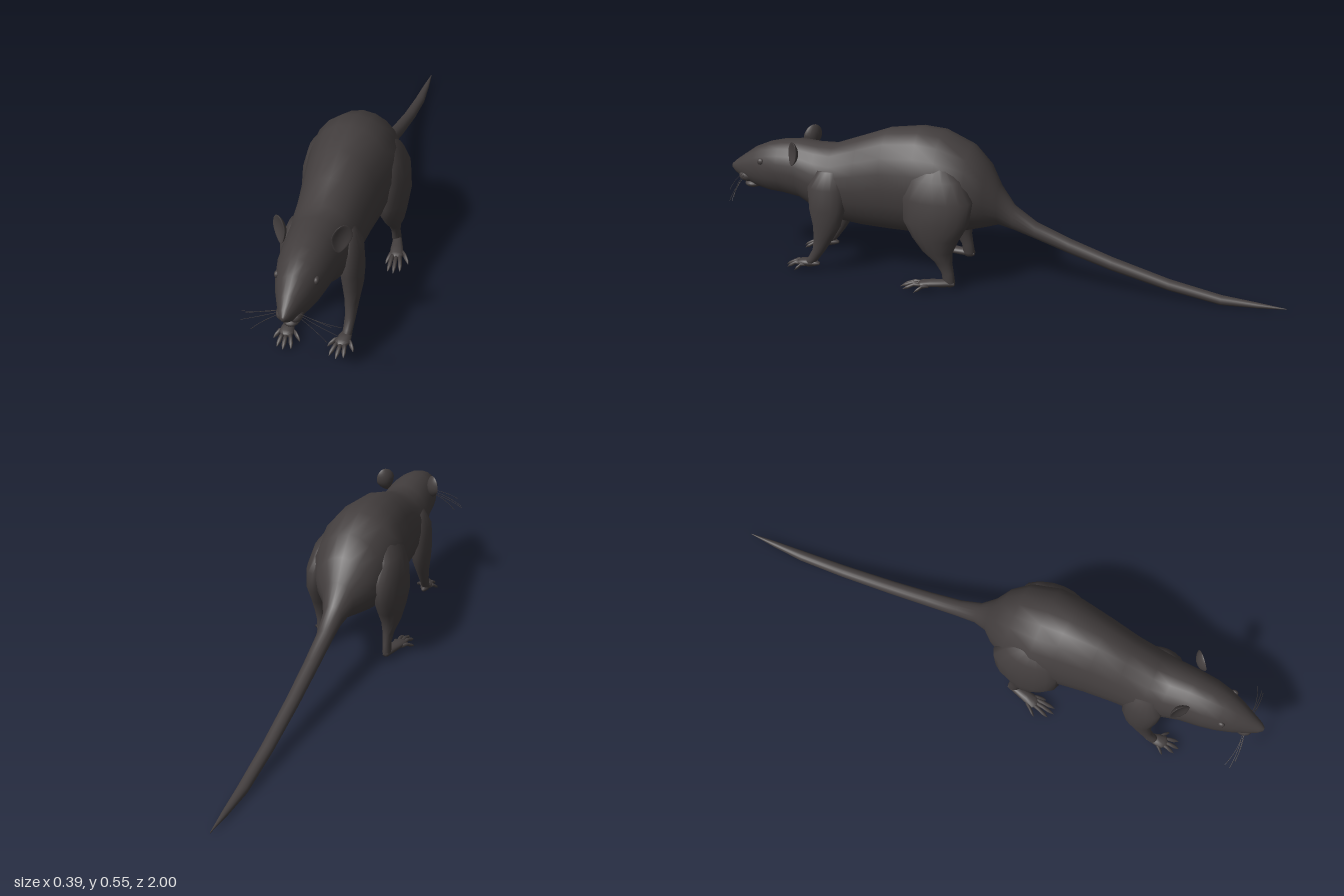
import * as THREE from 'three';

const fur = new THREE.MeshStandardMaterial({ color: 0x433e3e });
fur.name = 'darkFur';

// Skin over elliptical rings [x, y, z, r1, r2].
// upright = false: rings lie in xy and run from front to back; true: rings lie in xz and run downwards.
function loft(rings, sides, upright = false) {
  const pos = [], idx = [], n = rings.length;
  for (const [x, y, z, rx, r2] of rings) {
    for (let j = 0; j < sides; j++) {
      const a = (j / sides) * Math.PI * 2, c = Math.cos(a), s = Math.sin(a);
      if (upright) pos.push(x + rx * s, y, z + r2 * c);
      else pos.push(x + rx * c, y + r2 * s, z);
    }
  }
  const first = n * sides, last = first + 1;
  pos.push(...rings[0].slice(0, 3), ...rings[n - 1].slice(0, 3));
  for (let j = 0; j < sides; j++) {
    const k = (j + 1) % sides;
    for (let i = 0; i < n - 1; i++) {
      const a = i * sides + j, b = i * sides + k;
      idx.push(a, a + sides, b, b, a + sides, b + sides);
    }
    idx.push(first, j, k, last, (n - 1) * sides + k, (n - 1) * sides + j);
  }
  const g = new THREE.BufferGeometry();
  g.setAttribute('position', new THREE.Float32BufferAttribute(pos, 3));
  g.setIndex(idx);
  g.computeVertexNormals();
  return g;
}

function add(parent, name, geometry) {
  const m = new THREE.Mesh(geometry, fur);
  m.name = name;
  parent.add(m);
  return m;
}

function ellipsoid(parent, name, p, r) {
  const m = add(parent, name, new THREE.SphereGeometry(1, 14, 10));
  m.position.set(...p);
  m.scale.set(...r);
  return m;
}

// Mirror a list of rings or points to side s
const flip = (list, s) => list.map(([x, ...rest]) => [x * s, ...rest]);

// Thin bowl-shaped ear, open to the front
function earGeometry() {
  const g = new THREE.SphereGeometry(1, 18, 12);
  const p = g.attributes.position;
  for (let i = 0; i < p.count; i++) {
    const x = p.getX(i), y = p.getY(i), r2 = x * x + y * y;
    const narrow = y < 0 ? 1 + 0.35 * y : 1;
    p.setXYZ(i, x * 0.036 * narrow, y * 0.046, p.getZ(i) * 0.007 + r2 * 0.013);
  }
  g.computeVertexNormals();
  return g;
}

// Foot with a fan of arched, pointed toes; each toe is [base x, base z, tip x, tip z]
function foot(parent, name, s, sole, toes) {
  const group = new THREE.Group();
  group.name = name;
  parent.add(group);
  add(group, 'sole', loft(flip(sole, s), 12));
  for (const [bx, bz, tx, tz] of toes) {
    const at = (t, y, r) => [bx + (tx - bx) * t, y, bz + (tz - bz) * t, r, r];
    add(group, 'toe', loft(flip([
      at(1, 0.012, 0.001), at(0.85, 0.018, 0.005), at(0.7, 0.021, 0.007),
      at(0.4, 0.03, 0.007), at(0, 0.028, 0.007),
    ], s), 8));
  }
}

export function createModel() {
  const rat = new THREE.Group();
  rat.name = 'rat';

  // Head, trunk and tail: [z, top, bottom, half width]
  const spine = [
    [1.0, 0.35, 0.333, 0.007], [0.985, 0.364, 0.318, 0.019], [0.95, 0.39, 0.295, 0.035],
    [0.9, 0.425, 0.275, 0.056], [0.85, 0.447, 0.265, 0.072], [0.8, 0.459, 0.262, 0.083],
    [0.73, 0.467, 0.25, 0.09], [0.66, 0.461, 0.208, 0.1], [0.6, 0.462, 0.182, 0.11],
    [0.5, 0.5, 0.169, 0.115], [0.4, 0.538, 0.165, 0.127], [0.28, 0.554, 0.165, 0.146],
    [0.2, 0.546, 0.17, 0.153], [0.1, 0.502, 0.195, 0.132], [0.04, 0.44, 0.21, 0.098],
    [0, 0.365, 0.22, 0.058], [-0.05, 0.295, 0.205, 0.036], [-0.13, 0.238, 0.178, 0.029],
    [-0.25, 0.188, 0.136, 0.026], [-0.4, 0.135, 0.088, 0.024], [-0.6, 0.075, 0.036, 0.022],
    [-0.78, 0.037, 0.003, 0.019], [-0.9, 0.025, 0.005, 0.011], [-1.0, 0.014, 0.011, 0.001],
  ].map(([z, top, low, w]) => [0, (top + low) / 2, z, w, (top - low) / 2]);
  add(rat, 'bodyAndTail', loft(spine, 20));

  // Snout details
  ellipsoid(rat, 'nose', [0, 0.342, 0.985], [0.014, 0.012, 0.013]);
  ellipsoid(rat, 'lowerLip', [0, 0.281, 0.925], [0.026, 0.014, 0.03]);
  ellipsoid(rat, 'bellyBump', [0, 0.174, 0.29], [0.02, 0.016, 0.04]);

  for (const s of [1, -1]) {
    const side = s > 0 ? 'left' : 'right';

    ellipsoid(rat, side + 'Eye', [0.06 * s, 0.39, 0.863], [0.009, 0.012, 0.013]);
    ellipsoid(rat, side + 'Cheek', [0.02 * s, 0.316, 0.938], [0.021, 0.021, 0.03]);

    const ear = add(rat, side + 'Ear', earGeometry());
    ear.position.set(0.088 * s, 0.443, 0.715);
    ear.rotation.set(-0.1, 0.75 * s, -0.22 * s);

    // Whiskers
    for (const [y, z, ex, ey, ez] of [
      [0.328, 0.945, 0.13, 0.302, 0.955], [0.324, 0.94, 0.152, 0.285, 0.93],
      [0.318, 0.94, 0.15, 0.268, 0.95], [0.314, 0.945, 0.115, 0.248, 0.96],
    ]) {
      const curve = new THREE.QuadraticBezierCurve3(
        new THREE.Vector3(0.025 * s, y, z),
        new THREE.Vector3(0.08 * s, (y + ey) / 2 + 0.008, z + 0.015),
        new THREE.Vector3(ex * s, ey, ez));
      add(rat, side + 'Whisker', new THREE.TubeGeometry(curve, 8, 0.0009, 4));
    }

    // Hind leg: haunch down to the ankle
    add(rat, side + 'HindLeg', loft(flip([
      [0.095, 0.46, 0.2, 0.025, 0.04], [0.113, 0.41, 0.2, 0.045, 0.095],
      [0.123, 0.34, 0.19, 0.055, 0.125], [0.128, 0.26, 0.195, 0.056, 0.118],
      [0.128, 0.2, 0.197, 0.047, 0.085], [0.13, 0.15, 0.19, 0.034, 0.055],
      [0.128, 0.11, 0.17, 0.021, 0.032], [0.128, 0.07, 0.155, 0.015, 0.022],
      [0.13, 0.035, 0.15, 0.016, 0.022], [0.13, 0.02, 0.15, 0.01, 0.015],
    ], s), 16, true));
    foot(rat, side + 'HindFoot', s, [
      [0.153, 0.028, 0.255, 0.012, 0.006], [0.151, 0.03, 0.24, 0.024, 0.011],
      [0.145, 0.032, 0.21, 0.022, 0.013], [0.135, 0.032, 0.16, 0.016, 0.014],
      [0.131, 0.031, 0.13, 0.01, 0.008],
    ], [
      [0.136, 0.22, 0.122, 0.275], [0.14, 0.24, 0.138, 0.315], [0.152, 0.245, 0.158, 0.32],
      [0.162, 0.24, 0.178, 0.305], [0.164, 0.215, 0.196, 0.26],
    ]);

    // Front leg: shoulder down to the wrist
    add(rat, side + 'FrontLeg', loft(flip([
      [0.08, 0.39, 0.6, 0.025, 0.04], [0.092, 0.33, 0.605, 0.038, 0.07],
      [0.097, 0.25, 0.605, 0.038, 0.066], [0.099, 0.19, 0.608, 0.033, 0.052],
      [0.1, 0.14, 0.622, 0.024, 0.037], [0.1, 0.09, 0.642, 0.018, 0.024],
      [0.098, 0.055, 0.665, 0.016, 0.021], [0.096, 0.03, 0.685, 0.016, 0.02],
      [0.096, 0.02, 0.685, 0.01, 0.014],
    ], s), 16, true));
    foot(rat, side + 'FrontPaw', s, [
      [0.09, 0.03, 0.73, 0.012, 0.006], [0.091, 0.032, 0.718, 0.024, 0.011],
      [0.093, 0.034, 0.695, 0.022, 0.013], [0.096, 0.034, 0.66, 0.014, 0.011],
      [0.097, 0.033, 0.645, 0.006, 0.005],
    ], [
      [0.078, 0.695, 0.046, 0.725], [0.08, 0.712, 0.062, 0.765], [0.09, 0.718, 0.086, 0.775],
      [0.1, 0.714, 0.108, 0.765], [0.106, 0.695, 0.13, 0.73],
    ]);
  }
  return rat;
}
